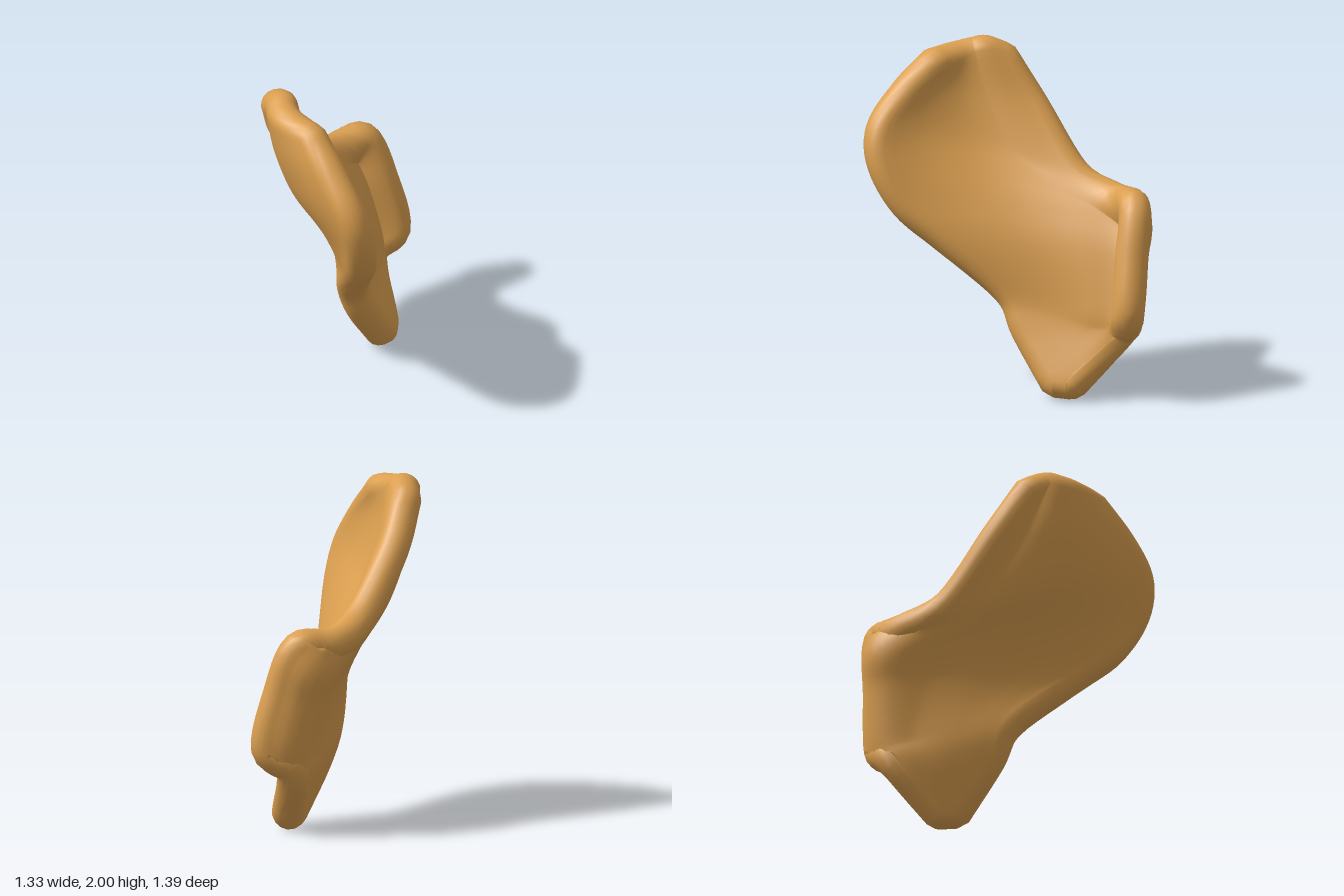
import * as THREE from 'three';

const EDGE = 0.085; // reach of the rounded rim beyond the middle surface
const HALF = 0.094; // half thickness of the blade
const NU = 30, NV = 48, RIM = 8;

const curve = (points) => new THREE.CatmullRomCurve3(points, false, 'catmullrom', 0.5);
const guide = (points) => curve(points.map((p) => new THREE.Vector3(...p)));

// Guide curves from the lower tip to the upper rim
const frontEdge = guide([
  [0.235, 0.09, -0.13], [0.03, 0.37, -0.05], [-0.08, 0.59, 0.01], [-0.27, 0.89, 0.31], [-0.4, 1.09, 0.51],
  [-0.49, 1.32, 0.61], [-0.54, 1.52, 0.59], [-0.555, 1.71, 0.43], [-0.55, 1.87, 0.24],
]);
const bend = guide([
  [0.295, 0.085, -0.2], [0.36, 0.37, -0.41], [0.43, 0.5, -0.48], [0.37, 0.82, -0.54], [0.3, 1.0, -0.58],
  [0.06, 1.12, -0.43], [-0.18, 1.29, -0.29], [-0.4, 1.62, -0.17], [-0.52, 1.915, -0.09],
]);
const flapEdge = guide([
  [0.31, 0.09, -0.215], [0.42, 0.39, -0.47], [0.57, 0.52, -0.43], [0.52, 0.85, -0.48], [0.43, 1.13, -0.55],
  [0.2, 1.13, -0.56], [-0.05, 1.24, -0.43], [-0.33, 1.6, -0.31], [-0.48, 1.87, -0.19],
]);

// One row of the middle surface: a bow from the front edge to the bend, then the flap
function middleRow(v) {
  const front = frontEdge.getPoint(v), back = bend.getPoint(v);
  const bow = new THREE.Vector3(-0.7, 0, -0.7).multiplyScalar(0.16 * v * front.distanceTo(back));
  const points = [];
  for (let k = 0; k <= 4; k++) {
    points.push(front.clone().lerp(back, k / 4).addScaledVector(bow, Math.sin(Math.PI * k / 4)));
  }
  return curve([...points, flapEdge.getPoint(v)]).getPoints(NU);
}

// Two offset skins joined by a half-round rim
function bladeGeometry() {
  const grid = Array.from({ length: NV + 1 }, (_, j) => middleRow(j / NV));
  const positions = [], indices = [];
  const add = (p) => positions.push(p.x, p.y, p.z) / 3 - 1;
  const quad = (a, b, c, d) => indices.push(a, b, c, a, c, d);
  const at = (i, j) => grid[THREE.MathUtils.clamp(j, 0, NV)][THREE.MathUtils.clamp(i, 0, NU)];
  const normal = (i, j) => {
    const du = at(i + 1, j).clone().sub(at(i - 1, j));
    const dv = at(i, j + 1).clone().sub(at(i, j - 1));
    return du.cross(dv).normalize();
  };

  const skin = (side) => grid.map((row, j) => row.map((p, i) =>
    add(p.clone().addScaledVector(normal(i, j), side * HALF))));
  const inner = skin(1), outer = skin(-1);
  for (let j = 0; j < NV; j++) {
    for (let i = 0; i < NU; i++) {
      quad(inner[j][i], inner[j][i + 1], inner[j + 1][i + 1], inner[j + 1][i]);
      quad(outer[j][i], outer[j + 1][i], outer[j + 1][i + 1], outer[j][i + 1]);
    }
  }

  // Boundary, walked once round
  const loop = [];
  for (let i = 0; i < NU; i++) loop.push([i, 0]);
  for (let j = 0; j < NV; j++) loop.push([NU, j]);
  for (let i = NU; i > 0; i--) loop.push([i, NV]);
  for (let j = NV; j > 0; j--) loop.push([0, j]);
  const count = loop.length;
  const rim = loop.map(([i, j], k) => {
    const n = normal(i, j);
    const along = at(...loop[(k + 1) % count]).clone().sub(at(...loop[(k + count - 1) % count]));
    const out = along.cross(n).normalize();
    const arc = [inner[j][i]];
    for (let s = 1; s < RIM; s++) {
      const a = Math.PI * s / RIM;
      arc.push(add(at(i, j).clone()
        .addScaledVector(n, HALF * Math.cos(a))
        .addScaledVector(out, EDGE * Math.sin(a))));
    }
    arc.push(outer[j][i]);
    return arc;
  });
  rim.forEach((arc, k) => {
    const next = rim[(k + 1) % count];
    for (let s = 0; s < RIM; s++) quad(arc[s], arc[s + 1], next[s + 1], next[s]);
  });

  const geometry = new THREE.BufferGeometry();
  geometry.setAttribute('position', new THREE.Float32BufferAttribute(positions, 3));
  geometry.setIndex(indices);
  geometry.computeVertexNormals();
  return geometry;
}

export function createModel() {
  const amber = new THREE.MeshStandardMaterial({ color: 0xdb9f50 });
  amber.name = 'amber';
  const blade = new THREE.Mesh(bladeGeometry(), amber);
  blade.name = 'curvedBlade';
  const model = new THREE.Group();
  model.name = 'curvedPlate';
  model.add(blade);
  return model;
}
